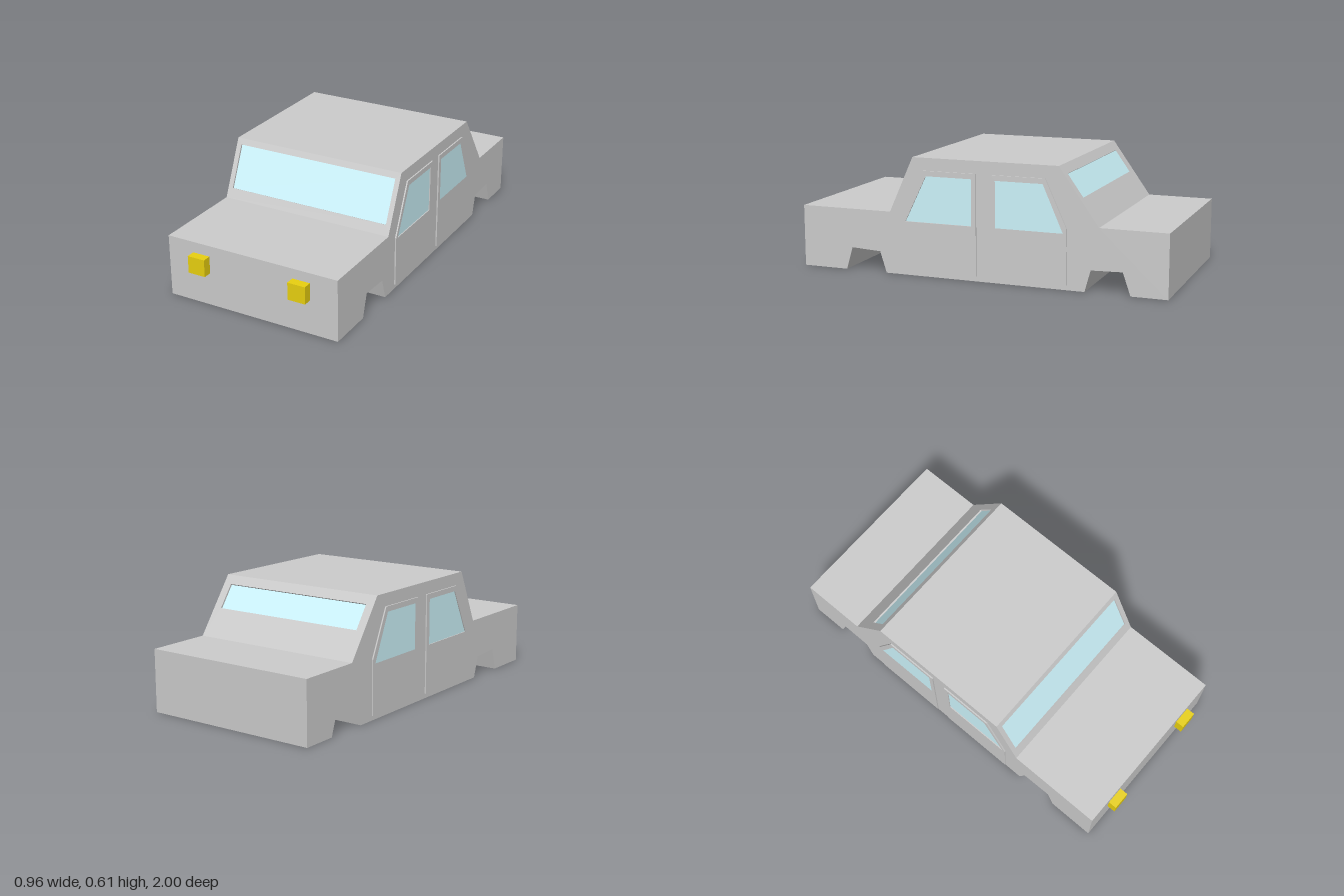
import * as THREE from 'three';

const grey = new THREE.MeshStandardMaterial({ color: 0xcccccc, flatShading: true });
const glass = new THREE.MeshStandardMaterial({ color: 0xccf3fb, flatShading: true });
const yellow = new THREE.MeshStandardMaterial({ color: 0xe8d010, flatShading: true });

const HALF = 0.471; // half width of the body
const RECESS = 0.01; // depth of the front and rear glass

const toShape = (points) => new THREE.Shape(points.map(([a, b]) => new THREE.Vector2(a, b)));
const rect = (x, v0, v1) => toShape([[-x, v0], [x, v0], [x, v1], [-x, v1]]);

function add(parent, name, geometry, material) {
  const mesh = new THREE.Mesh(geometry, material);
  mesh.name = name;
  parent.add(mesh);
  return mesh;
}

// Slab with a [z, y] outline, reaching from x0 to x0 + depth
function sideSlab(shape, x0, depth) {
  return new THREE.ExtrudeGeometry(shape, { depth, bevelEnabled: false })
    .rotateY(-Math.PI / 2)
    .translate(x0 + depth, 0, 0);
}

// Body outline as [z, y], from the nose over the roof and back underneath
const profile = [
  [0.955, 0], [0.955, 0.322], [0.455, 0.322], [0.325, 0.61], [-0.45, 0.61],
  [-0.655, 0.322], [-1, 0.322], [-1, 0], [-0.815, 0], [-0.775, 0.115],
  [-0.615, 0.11], [-0.585, 0], [0.48, 0], [0.515, 0.11], [0.675, 0.118], [0.71, 0],
];

// Windows cut into sloping panels: half width, then range along the slope
const windows = {
  2: { name: 'windshield', x: 0.445, v: [0.054, 0.283] },
  4: { name: 'rearWindow', x: 0.427, v: [0.052, 0.19] },
};

function buildBody() {
  const body = new THREE.Group();
  body.name = 'body';

  // Flat sides
  for (const s of [-1, 1]) {
    const side = new THREE.ShapeGeometry(toShape(profile)).rotateY((s * Math.PI) / 2);
    if (s > 0) side.scale(1, 1, -1);
    // The left side is mirrored, so its corner order is turned round
    if (s > 0) {
      const index = side.index;
      for (let i = 0; i < index.count; i += 3) {
        const first = index.getX(i);
        index.setX(i, index.getX(i + 2));
        index.setX(i + 2, first);
      }
      side.computeVertexNormals();
    }
    add(body, s > 0 ? 'leftSide' : 'rightSide', side.translate(s * HALF, 0, 0), grey);
  }

  // One panel across the car for every edge of the outline
  profile.forEach(([z0, y0], i) => {
    const [z1, y1] = profile[(i + 1) % profile.length];
    const length = Math.hypot(z1 - z0, y1 - y0);
    const along = new THREE.Vector3(0, y1 - y0, z1 - z0).normalize();
    const across = new THREE.Vector3(1, 0, 0);
    const out = across.clone().cross(along);
    const place = new THREE.Matrix4().makeBasis(across, along, out).setPosition(0, y0, z0);
    const shape = rect(HALF, 0, length);
    const win = windows[i];
    if (!win) {
      add(body, 'bodyPanel', new THREE.ShapeGeometry(shape).applyMatrix4(place), grey);
      return;
    }
    const opening = rect(win.x, ...win.v);
    shape.holes.push(opening);
    const frame = new THREE.ExtrudeGeometry(shape, { depth: RECESS, bevelEnabled: false });
    add(body, win.name + 'Frame', frame.translate(0, 0, -RECESS).applyMatrix4(place), grey);
    const pane = new THREE.ShapeGeometry(opening).translate(0, 0, -RECESS + 0.001);
    add(body, win.name, pane.applyMatrix4(place), glass);
  });
  return body;
}

// Door outlines and their windows as [z, y]
const doors = [
  {
    name: 'frontDoor',
    outline: [[-0.02, 0.025], [0.383, 0.025], [0.383, 0.285], [0.265, 0.545], [-0.02, 0.545]],
    window: [[0.005, 0.28], [0.365, 0.28], [0.25, 0.518], [0.005, 0.518]],
  },
  {
    name: 'rearDoor',
    outline: [[-0.097, 0.025], [-0.493, 0.025], [-0.493, 0.305], [-0.383, 0.545], [-0.097, 0.545]],
    window: [[-0.12, 0.28], [-0.475, 0.28], [-0.37, 0.518], [-0.12, 0.518]],
  },
];

function buildDoor({ name, outline, window }, s) {
  const door = new THREE.Group();
  door.name = (s > 0 ? 'left' : 'right') + name[0].toUpperCase() + name.slice(1);
  const shape = toShape(outline);
  shape.holes.push(toShape(window));
  const start = (depth) => (s > 0 ? HALF : -HALF - depth);
  add(door, 'doorPanel', sideSlab(shape, start(0.007), 0.007), grey);
  add(door, 'doorWindow', sideSlab(toShape(window), start(0.002), 0.002), glass);
  return door;
}

export function createModel() {
  const model = new THREE.Group();
  model.name = 'car';
  model.add(buildBody());
  for (const s of [-1, 1]) {
    for (const door of doors) model.add(buildDoor(door, s));
    // Square headlight on the nose
    const light = add(model, s > 0 ? 'leftHeadlight' : 'rightHeadlight',
      new THREE.BoxGeometry(0.094, 0.09, 0.045), yellow);
    light.position.set(s > 0 ? 0.277 : -0.282, s > 0 ? 0.225 : 0.22, 0.9775);
  }
  return model;
}
